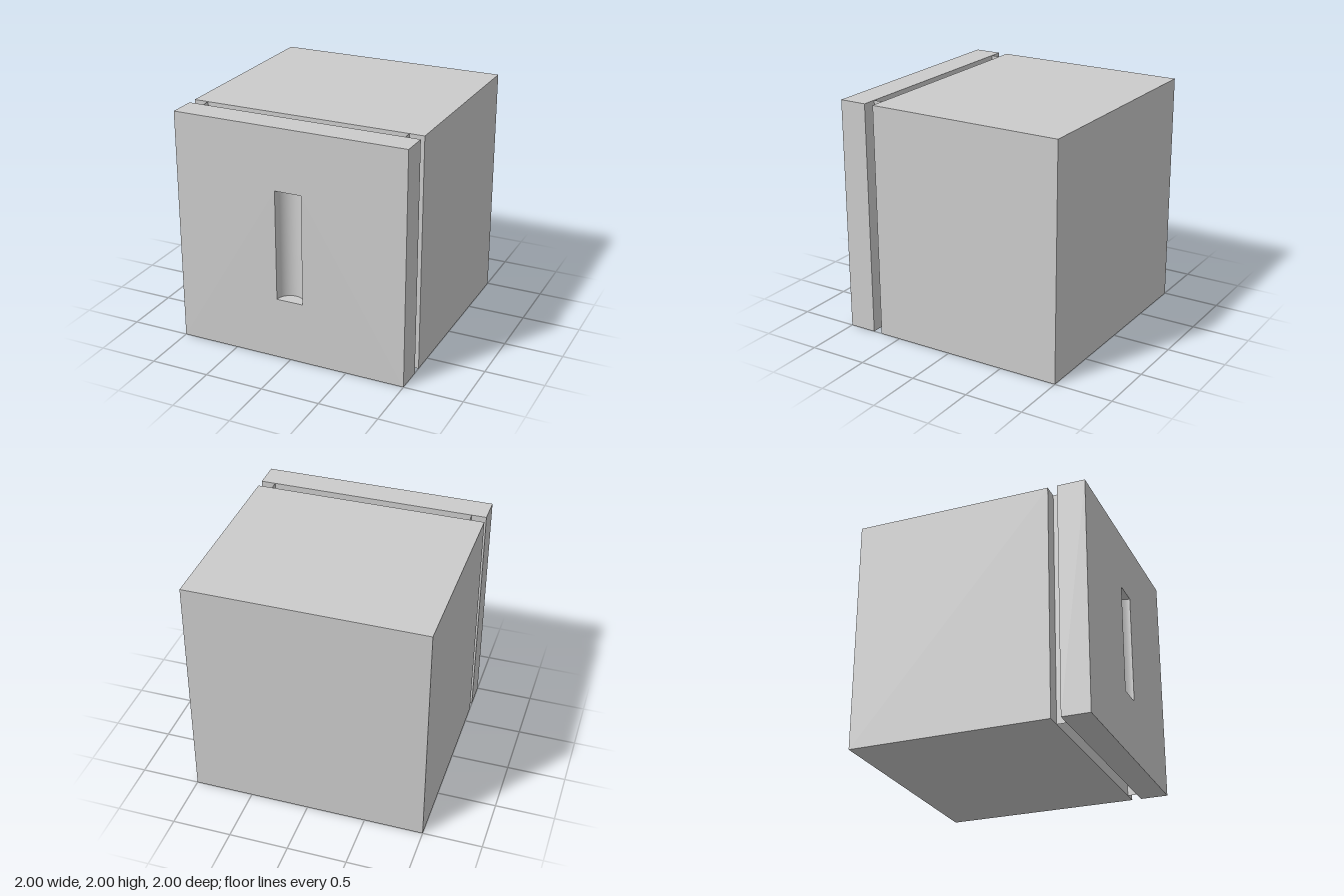
import * as THREE from 'three';

const BODY_FRONT = 0.685, DOOR_BACK = 0.765, FRONT = 1;

export function createModel() {
  const group = new THREE.Group();
  const solid = new THREE.MeshStandardMaterial({ color: 0xcccccc });
  const thin = new THREE.MeshStandardMaterial({ color: 0xcccccc, side: THREE.DoubleSide });

  function add(name, geometry, material, x, y, z, parent = group) {
    const mesh = new THREE.Mesh(geometry, material);
    mesh.name = name;
    mesh.position.set(x, y, z);
    parent.add(mesh);
    return mesh;
  }

  // Cabinet body
  const bodyDepth = BODY_FRONT + 1;
  add('cabinetBody', new THREE.BoxGeometry(2, 2, bodyDepth), solid, 0, 1, BODY_FRONT - bodyDepth / 2);

  // Door: a box without its front face, closed by a panel with a handle opening
  const door = new THREE.Group();
  door.name = 'door';
  group.add(door);

  const doorDepth = FRONT - DOOR_BACK;
  const shell = new THREE.BoxGeometry(2, 2, doorDepth);
  const index = Array.from(shell.index.array);
  index.splice(24, 6);
  shell.setIndex(index);
  shell.clearGroups();
  add('doorShell', shell, solid, 0, 1, DOOR_BACK + doorDepth / 2, door);

  const r = 0.115, y0 = 0.53, y1 = 1.475;
  const panel = new THREE.Shape([[-1, 0], [1, 0], [1, 2], [-1, 2]].map(p => new THREE.Vector2(...p)));
  panel.holes.push(new THREE.Path([[-r, y0], [-r, y1], [r, y1], [r, y0]].map(p => new THREE.Vector2(...p))));
  add('doorFrontPanel', new THREE.ShapeGeometry(panel), solid, 0, 0, FRONT, door);

  // Half-round handle recess, seen from inside
  add('handleRecess', new THREE.CylinderGeometry(r, r, y1 - y0, 32, 1, false, Math.PI / 2, Math.PI),
    thin, 0, (y0 + y1) / 2, FRONT, door);

  // Thin seal sheets bridging the gap between body and door
  const gap = DOOR_BACK - BODY_FRONT, midGap = (DOOR_BACK + BODY_FRONT) / 2, inset = 0.875;
  for (const s of [-1, 1]) {
    add('sideSeal', new THREE.PlaneGeometry(gap, 2), thin, s * inset, 1, midGap).rotation.y = s * Math.PI / 2;
    add('crossSeal', new THREE.PlaneGeometry(2 * inset, gap), thin, 0, 1 + s * inset, midGap).rotation.x = -s * Math.PI / 2;
  }

  return group;
}
